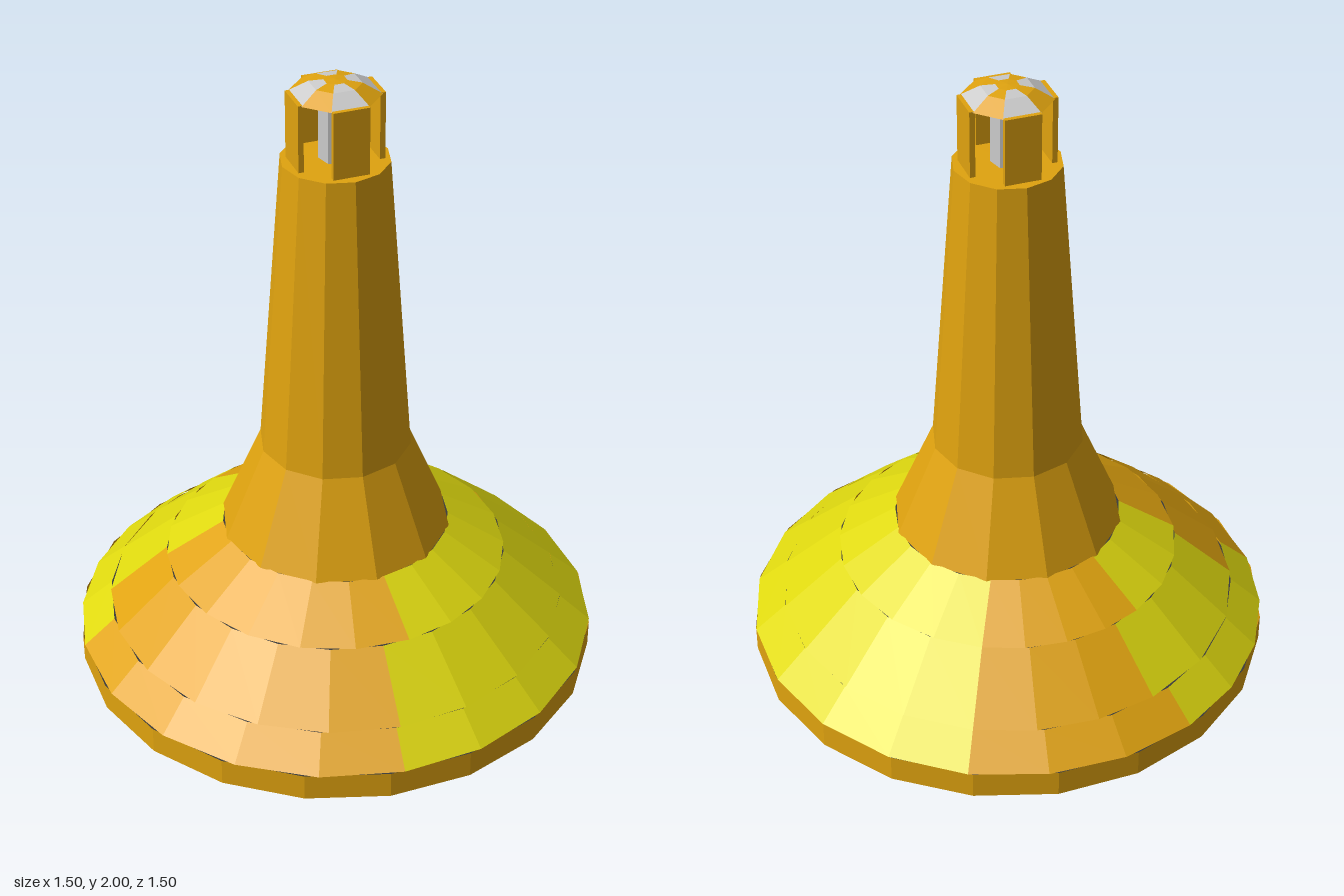
import * as THREE from 'three';
import { ConvexGeometry } from 'three/addons/geometries/ConvexGeometry.js';

const mat = (color) => new THREE.MeshStandardMaterial({ color, flatShading: true, side: THREE.DoubleSide });
const rad = THREE.MathUtils.degToRad;

export function createModel() {
  const group = new THREE.Group();
  const orange = mat(0xe0a30f), yellow = mat(0xdfd90f), dark = mat(0x3a3a3a), grey = mat(0xcccccc);

  const add = (name, geometry, material, parent = group) => {
    const mesh = new THREE.Mesh(geometry, material);
    mesh.name = name;
    parent.add(mesh);
    return mesh;
  };
  // Surface of revolution; angles in degrees measured from +x towards +z
  const lathe = (profile, sides, from = 0, to = 360) => new THREE.LatheGeometry(
    profile.map(([r, y]) => new THREE.Vector2(r, y)), sides, rad(90 - to), rad(to - from));
  const ring = (r, y, n, start = 0) => Array.from({ length: n }, (_, i) => {
    const a = rad(start + (i * 360) / n);
    return new THREE.Vector3(r * Math.cos(a), y, r * Math.sin(a));
  });

  // Hull: octagonal keel widening to the round rim
  add('hull', new ConvexGeometry([...ring(0.41, 0, 8, 22.5), ...ring(0.75, 0.21, 20)]), dark);
  add('rim', lathe([[0.75, 0.21], [0.75, 0.29]], 20), orange);

  // Deck: three bands of colour panels whose borders step sideways from band to band
  const deck = new THREE.Group();
  deck.name = 'deck';
  group.add(deck);
  const rings = [[0.75, 0.29], [0.66, 0.37], [0.49, 0.52], [0.325, 0.625]];
  const borders = [[51, 141, 202, 253], [50, 153, 207, 253], [41, 149, 197, 253]];
  borders.forEach((b, band) => b.forEach((from, i) => {
    const to = i < 3 ? b[i + 1] : b[0] + 360;
    add('deckPanel', lathe([rings[band], rings[band + 1]], Math.ceil((to - from) / 18), from, to),
      i % 2 ? yellow : orange, deck);
  }));

  // Tower: flared foot, tapering shaft, flat top
  add('tower', lathe([[0.33, 0.622], [0.215, 0.895], [0.148, 1.775], [0, 1.777]], 12, 15, 375), orange);

  // Lantern: lamp behind four corner posts
  const lantern = new THREE.Group();
  lantern.name = 'lantern';
  group.add(lantern);
  const lamp = add('lamp', new THREE.CylinderGeometry(0.045, 0.045, 0.16, 6), grey, lantern);
  lamp.position.y = 1.857;
  for (let i = 0; i < 4; i++) {
    const a = rad(45 + i * 90);
    const post = add('lanternPost', new THREE.BoxGeometry(0.1, 0.19, 0.015), orange, lantern);
    post.position.set(0.113 * Math.sin(a), 1.87, 0.113 * Math.cos(a));
    post.rotation.y = a;
  }

  // Roof: shallow dome of alternating orange and grey segments
  const roof = [[0.123, 1.963], [0.07, 1.992], [0.03, 1.998]];
  for (let i = 0; i < 8; i++) {
    const mid = i * 45, half = i % 2 ? 25 : 20;
    add('roofSegment', lathe(roof, 1, mid - half, mid + half), i % 2 ? grey : orange, lantern);
  }
  add('roofCap', lathe([[0.031, 1.998], [0, 2]], 8, 22.5, 382.5), orange, lantern);

  return group;
}
